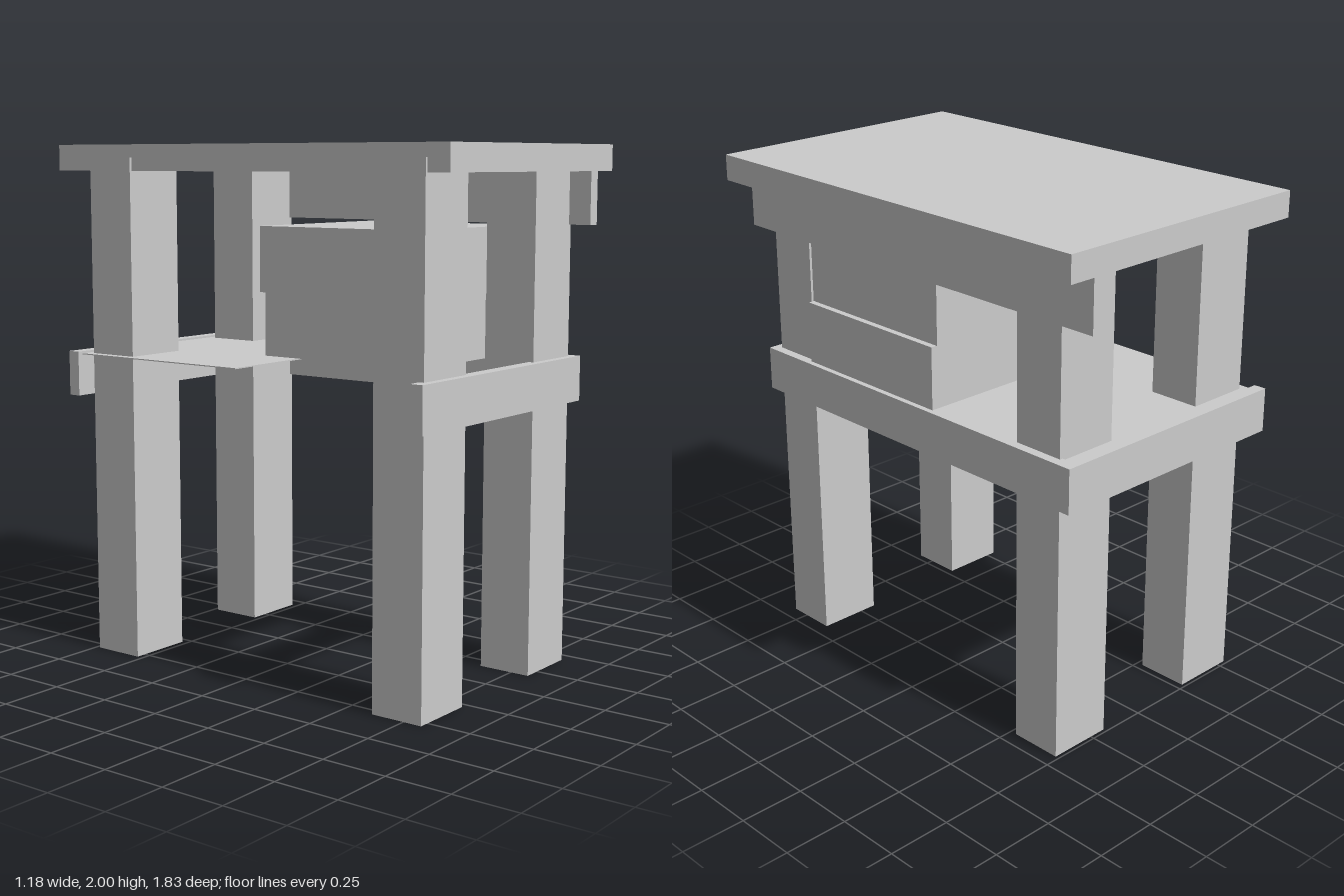
import * as THREE from 'three';

export function createModel() {
  const model = new THREE.Group();
  const material = new THREE.MeshStandardMaterial({ color: 0xcccccc, flatShading: true });

  // Adds a box given its [min, max] range on each axis
  function addBox(name, x, y, z) {
    const geometry = new THREE.BoxGeometry(x[1] - x[0], y[1] - y[0], z[1] - z[0]);
    const mesh = new THREE.Mesh(geometry, material);
    mesh.name = name;
    mesh.position.set((x[0] + x[1]) / 2, (y[0] + y[1]) / 2, (z[0] + z[1]) / 2);
    model.add(mesh);
  }

  // Four posts running from the ground into the roof slab
  const postX = { Right: [-0.54, -0.28], Left: [0.18, 0.44] };
  const postZ = { front: [0.615, 0.825], back: [-0.735, -0.525] };
  for (const [end, z] of Object.entries(postZ))
    for (const [side, x] of Object.entries(postX))
      addBox(`${end}${side}Post`, x, [0, 1.95], z);

  // Roof slab and the fascia board hung below its left side
  addBox('roof', [-0.53, 0.59], [1.9, 2], [-0.915, 0.915]);
  addBox('fascia', [0.427, 0.477], [1.7, 1.9], [-0.91, 0.915]);

  // Rails around three sides; the right side is open
  const railY = [1.027, 1.2];
  addBox('frontRail', [-0.595, 0.477], railY, [0.805, 0.857]);
  addBox('backRail', [-0.595, 0.477], railY, [-0.815, -0.765]);
  addBox('leftRail', [0.427, 0.477], railY, [-0.815, 0.857]);

  // Thin floor sheet behind the middle
  addBox('floor', [-0.573, 0.43], [1.188, 1.192], [-0.77, 0.02]);

  // Two stacked blocks, the upper one slightly offset
  addBox('lowerBlock', [-0.253, 0.455], [1.2, 1.445], [-0.1, 0.613]);
  addBox('upperBlock', [-0.28, 0.43], [1.445, 1.695], [-0.103, 0.617]);

  return model;
}
